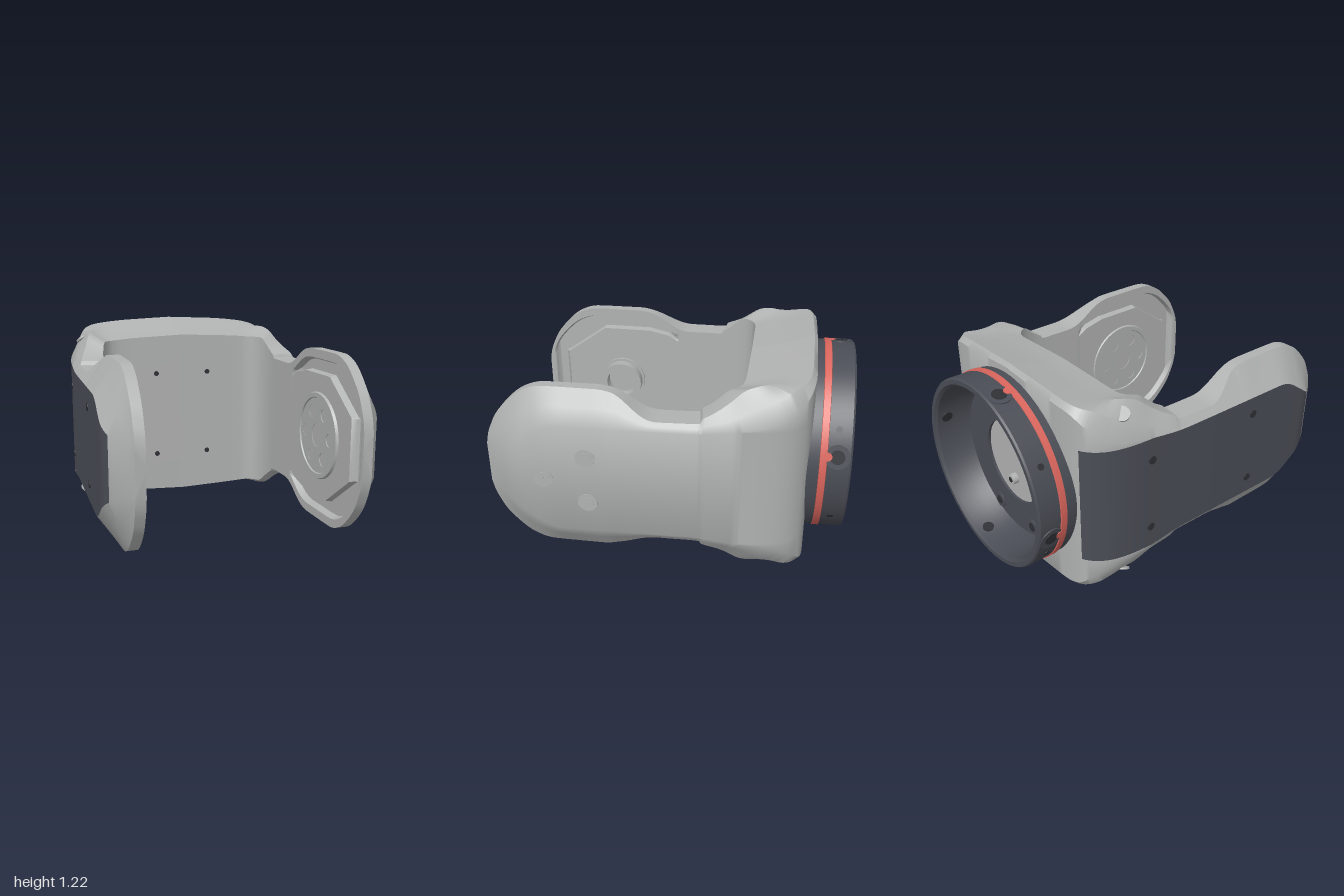
import * as THREE from 'three';
import { toCreasedNormals } from 'three/addons/utils/BufferGeometryUtils.js';

const CY = 0.615; // height of the plane of symmetry
const material = (name, color) => {
  const m = new THREE.MeshStandardMaterial({ color });
  m.name = name;
  return m;
};

// piecewise linear function from [s, value] keys, s falling
const keyed = (...keys) => (s) => {
  for (let i = 1; i < keys.length; i++) {
    const [a, va] = keys[i - 1], [b, vb] = keys[i];
    if (s >= b) return va + (vb - va) * Math.min(1, Math.max(0, (a - s) / (a - b)));
  }
  return keys[keys.length - 1][1];
};
// the same with its corners rounded by a moving average
const smooth = (width, ...keys) => {
  const f = keyed(...keys);
  return (s) => {
    const w = Math.max(0, Math.min(width, 1 - s, s + 1.4));
    let sum = 0;
    for (let i = -5; i <= 5; i++) sum += f(s + w * i / 5);
    return sum / 11;
  };
};

// plan of the yoke: s runs from an arm tip (1) round the corner to the middle of the back (-1.4)
const innerX = smooth(.1, [1, .575], [-.2, .558], [-.35, .548], [-.5, .53], [-.65, .5], [-.8, .46], [-.95, .4], [-1.1, .3], [-1.4, 0]);
const innerZ = smooth(.1, [1, 1], [-.2, -.2], [-.35, -.27], [-.5, -.33], [-.65, -.375], [-.8, -.4], [-.95, -.41], [-1.4, -.415]);
const outerX = smooth(.06, [1, .63], [.82, .754], [.75, .756], [0, .738], [-.2, .732], [-.35, .727], [-.5, .715], [-.65, .685], [-.8, .625], [-.95, .535], [-1.1, .35], [-1.4, 0]);
const outerZ = smooth(.1, [1, 1], [-.2, -.2], [-.35, -.38], [-.5, -.52], [-.65, -.64], [-.8, -.73], [-.95, -.78], [-1.1, -.785], [-1.4, -.785]);
// half heights of the arm edge and of its outer flat
const edgeH = smooth(.04, [1, .12], [.985, .2], [.95, .285], [.9, .352], [.8, .45], [.7, .494], [.62, .497], [.33, .497], [.25, .475], [.12, .39], [.06, .367], [-.2, .37], [-.3, .4]);
const flatH = smooth(.06, [1, .1], [.85, .165], [.62, .325], [-.2, .325], [-.5, .37], [-.65, .4], [-.8, .47], [-.95, .55], [-1.4, .59]);
// section of the corner and back wall
const wallB = smooth(.06, [-.15, .37], [-.35, .44], [-.5, .495], [-.8, .495], [-1.4, .52]);
const wallC = smooth(.06, [-.15, .37], [-.35, .455], [-.5, .52], [-.8, .515], [-1.4, .535]);
const wallD = smooth(.06, [-.15, .37], [-.35, .46], [-.5, .535], [-.65, .557], [-.8, .553], [-.95, .543], [-1.4, .56]);
const wallE = smooth(.06, [-.15, .348], [-.35, .395], [-.5, .45], [-.65, .495], [-.8, .555], [-.95, .578], [-1.1, .597], [-1.4, .612]);
const wallTD = smooth(.06, [-.2, .8], [-.35, .55], [-.5, .45], [-.8, .5], [-1.4, .5]);
const wallTE = smooth(.06, [-.2, .9], [-.5, .75], [-.8, .85], [-.95, .93], [-1.4, .95]);
// sunk pan inside each arm, with a raised pad in it
const panDepth = keyed([.965, 0], [.945, .04], [.17, .04], [.1, 0]);
const padDepth = keyed([.965, 0], [.945, .04], [.88, .04], [.868, 0]);
const padH = keyed([.87, .17], [.6, .36], [.3, .36], [.12, .32]);

function section(s, side) {
  const xi = innerX(s), xo = outerX(s), zi = innerZ(s), zo = outerZ(s);
  const f = flatH(s), g = Math.min(f, .35);
  let b, c, d, e, td, te;
  if (s >= -.2) {
    b = c = d = edgeH(s);
    td = Math.min(1, (Math.max(.63, xo - (b - f) * .735) - xi) / (xo - xi));
    te = (td + 1) / 2;
    e = (d + f) / 2;
  } else {
    [b, c, d, e, td, te] = [wallB, wallC, wallD, wallE, wallTD, wallTE].map((k) => k(s));
  }
  const depth = Math.hypot(xo - xi, zo - zi), pan = panDepth(s) / depth;
  const q = Math.min(padH(s), b - .09);
  const top = [[padDepth(s) / depth, q], [pan, q + .008], [pan, b - .065], [0, b - .05], [0, b], [td / 2, c], [td, d], [te, e], [1, f], [1, g]];
  const loop = [...top, ...top.map(([t, h]) => [t, -h]).reverse()];
  return loop.map(([t, h]) => [side * (xi + (xo - xi) * t), CY + h, zi + (zo - zi) * t]);
}

// loft the whole U; the outer band of the right arm is a separate cover
function yoke() {
  const N = 192, stations = [];
  for (let i = 0; i <= N; i++) stations.push([1 - 2.4 * i / N, 1]);
  for (let i = N - 1; i >= 0; i--) stations.push([1 - 2.4 * i / N, -1]);
  const loops = stations.map(([s, side]) => section(s, side));
  const n = loops[0].length, body = [], cover = [];
  for (let i = 0; i < loops.length - 1; i++) {
    const [s, side] = stations[i];
    for (let j = 0; j < n; j++) {
      const k = (j + 1) % n, [p, q] = [loops[i], loops[i + 1]];
      const isCover = j === n / 2 - 1 && side < 0 && s > -.9 && s < .85;
      (isCover ? cover : body).push(...p[j], ...p[k], ...q[j], ...p[k], ...q[k], ...q[j]);
    }
  }
  const last = loops[loops.length - 1];
  for (let j = 1; j < n - 1; j++) {
    body.push(...loops[0][0], ...loops[0][j + 1], ...loops[0][j]);
    body.push(...last[0], ...last[j], ...last[j + 1]);
  }
  return [body, cover].map((list) => {
    const g = new THREE.BufferGeometry();
    g.setAttribute('position', new THREE.Float32BufferAttribute(list, 3));
    return toCreasedNormals(g, .65);
  });
}

export function createModel() {
  const model = new THREE.Group();
  const grey = material('body grey', 0xb0b2b1);
  const dark = material('dark grey', 0x4a4d55);
  const red = material('band red', 0xd9655c);
  const black = material('hole black', 0x2e3035);

  const add = (name, geometry, mat) => {
    const m = new THREE.Mesh(geometry, mat);
    m.name = name;
    model.add(m);
    return m;
  };
  const UP = new THREE.Vector3(0, 1, 0);
  // short round plug centred on a point, facing a direction
  const plug = (name, r, len, pos, dir, mat) => {
    const m = add(name, new THREE.CylinderGeometry(r, r, len, 24), mat);
    m.position.set(...pos);
    m.quaternion.setFromUnitVectors(UP, new THREE.Vector3(...dir).normalize());
  };
  // lathe turned about an axis; profile is [radius, distance along the axis]
  const turned = (name, profile, mat, pos, dir, segs) => {
    const g = new THREE.LatheGeometry(profile.map((p) => new THREE.Vector2(...p)), segs);
    const m = add(name, toCreasedNormals(g, .5), mat);
    m.position.set(...pos);
    m.quaternion.setFromUnitVectors(UP, new THREE.Vector3(...dir));
  };

  const [body, cover] = yoke();
  add('yokeBody', body, grey);
  add('sideCover', cover, dark);

  // pivot socket on the right arm
  turned('socketFlange', [[.15, 0], [.15, .022], [.1, .022]], grey, [-.572, CY, .487], [1, 0, 0], 40);
  turned('socket', [[.135, 0], [.135, .08], [.1, .08], [.1, .005], [0, .005]], grey, [-.572, CY, .487], [1, 0, 0], 24);
  const key = new THREE.Shape();
  key.absarc(0, 0, .1, .5, 2.6, false);
  const keyMesh = add('socketKey', new THREE.ExtrudeGeometry(key, { depth: .06, bevelEnabled: false }), grey);
  keyMesh.rotation.y = Math.PI / 2;
  keyMesh.position.set(-.57, CY, .487);

  // bearing plate on the left arm
  const plate = new THREE.Shape();
  plate.absarc(0, 0, .225, 0, Math.PI * 2, false);
  const hole = (x, y, r) => plate.holes.push(new THREE.Path().absarc(x, y, r, 0, Math.PI * 2, true));
  hole(0, 0, .07);
  for (let i = 0; i < 6; i++) hole(.15 * Math.cos(i * Math.PI / 3), .15 * Math.sin(i * Math.PI / 3), .038);
  const plateMesh = add('bearingPlate', new THREE.ExtrudeGeometry(plate, { depth: .01, bevelEnabled: false, curveSegments: 24 }), grey);
  plateMesh.rotation.y = -Math.PI / 2;
  plateMesh.position.set(.574, CY, .475);
  turned('bearingRim', [[.26, 0], [.25, .02], [.225, .02], [.215, 0]], grey, [.576, CY, .475], [-1, 0, 0], 48);

  // three screws on the left arm
  for (const [z, y, turn] of [[.41, .755, -.8], [.65, .615, 0], [.41, .475, .8]]) {
    const x = outerX(z);
    plug('screwSeat', .055, .006, [x, y, z], [1, 0, 0], grey);
    plug('screwHead', .036, .01, [x, y, z], [1, 0, 0], grey);
    const slot = add('screwSlot', new THREE.BoxGeometry(.004, .05, .008), grey);
    slot.position.set(x + .004, y, z);
    slot.rotation.x = turn;
  }

  // cover holes, wall holes and corner holes
  for (const up of [-1, 1]) {
    for (const [x, z] of [[-.725, -.4], [-outerX(.34), .34]]) plug('coverHole', .023, .01, [x, CY + up * .218, z], [-1, 0, 0], black);
    for (const x of [-.175, .173]) plug('wallHole', .016, .008, [x, CY + up * .27, innerZ(-1.2)], [0, 0, 1], black);
    plug('cornerHole', .042, .012, [-.635, CY + up * .503, -.53], [-.45, up * .8, -.35], grey);
  }

  // round mounting cup at the back
  const cup = [[.555, .74], [.555, .99], [.547, 1], [.52, 1], [.505, .985], [.48, .85], [.45, .8], [.25, .8], [.25, .77]];
  turned('mountCup', cup, dark, [0, CY, 0], [0, 0, -1], 96);
  turned('redBand', [[.553, .827], [.561, .83], [.561, .866], [.553, .869]], red, [0, CY, 0], [0, 0, -1], 96);
  for (let q = 0; q < 4; q++) {
    // plug on the outside of the cup wall, at an angle and depth
    const radial = (name, deg, depth, r, len, mat) => {
      const a = deg * Math.PI / 180, c = Math.cos(a), s = Math.sin(a);
      plug(name, r, len, [.553 * c, CY + .553 * s, -depth], [c, s, 0], mat);
    };
    const bolt = 14.5 + 90 * q, pin = [30, 150, 210, 330][q];
    radial('boltSeat', bolt, .922, .068, .01, dark);
    radial('boltSocket', bolt, .922, .04, .014, black);
    radial('bandPatch', bolt, .87, .024, .018, red);
    radial('cupPin', pin, .92, .018, .008, black);
    const a = bolt * Math.PI / 180;
    plug('innerHole', .033, .008, [.492 * Math.cos(a), CY + .492 * Math.sin(a), -.93], [Math.cos(a), Math.sin(a), 0], black);
    const x = q % 2 ? .17 : -.17, y = CY + (q < 2 ? .36 : -.36);
    plug('floorScrew', .048, .012, [x, y, -.802], [0, 0, -1], dark);
    plug('floorScrewSocket', .027, .006, [x, y, -.808], [0, 0, -1], black);
  }
  plug('centreBolt', .032, .04, [0, .5, -.8], [0, 0, -1], grey);
  plug('centreBoltSocket', .016, .006, [0, .5, -.82], [0, 0, -1], black);

  return model;
}
